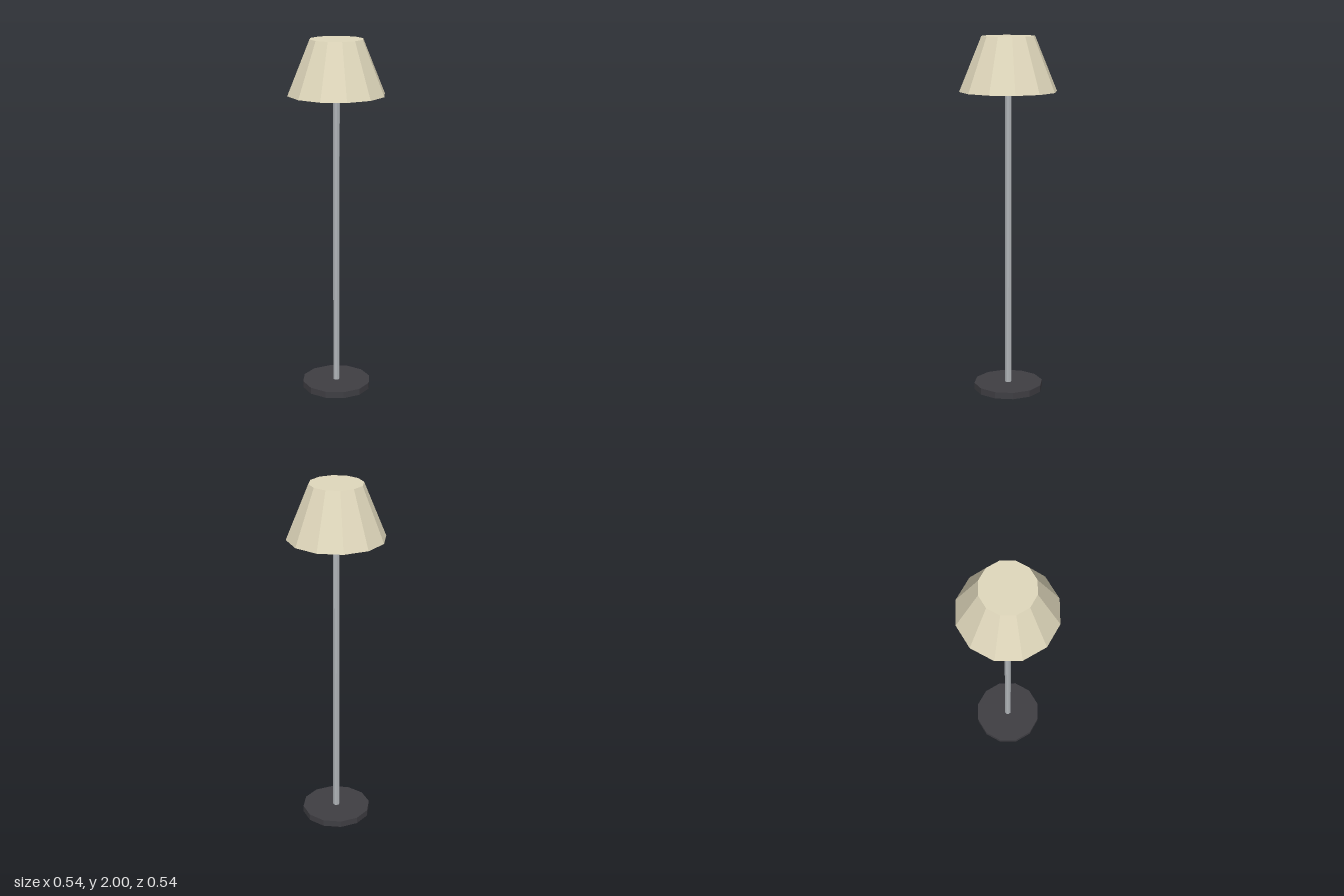
import * as THREE from 'three';

export function createModel() {
  const lamp = new THREE.Group();
  lamp.name = 'floorLamp';

  const material = (name, color) => {
    const m = new THREE.MeshStandardMaterial({ color, flatShading: true });
    m.name = name;
    return m;
  };

  // Closed faceted cylinder or cone section standing between two heights
  const addRound = (name, rTop, rBottom, y0, y1, sides, mat) => {
    const mesh = new THREE.Mesh(new THREE.CylinderGeometry(rTop, rBottom, y1 - y0, sides), mat);
    mesh.name = name;
    mesh.position.y = (y0 + y1) / 2;
    lamp.add(mesh);
  };

  addRound('base', 0.196, 0.196, 0, 0.037, 12, material('charcoal', 0x3f3e43));
  addRound('pole', 0.0185, 0.0185, 0.037, 1.72, 8, material('brushedGrey', 0xb0b4b8));
  addRound('shade', 0.147, 0.27, 1.7, 2, 12, material('cream', 0xe0d8bc));

  return lamp;
}
